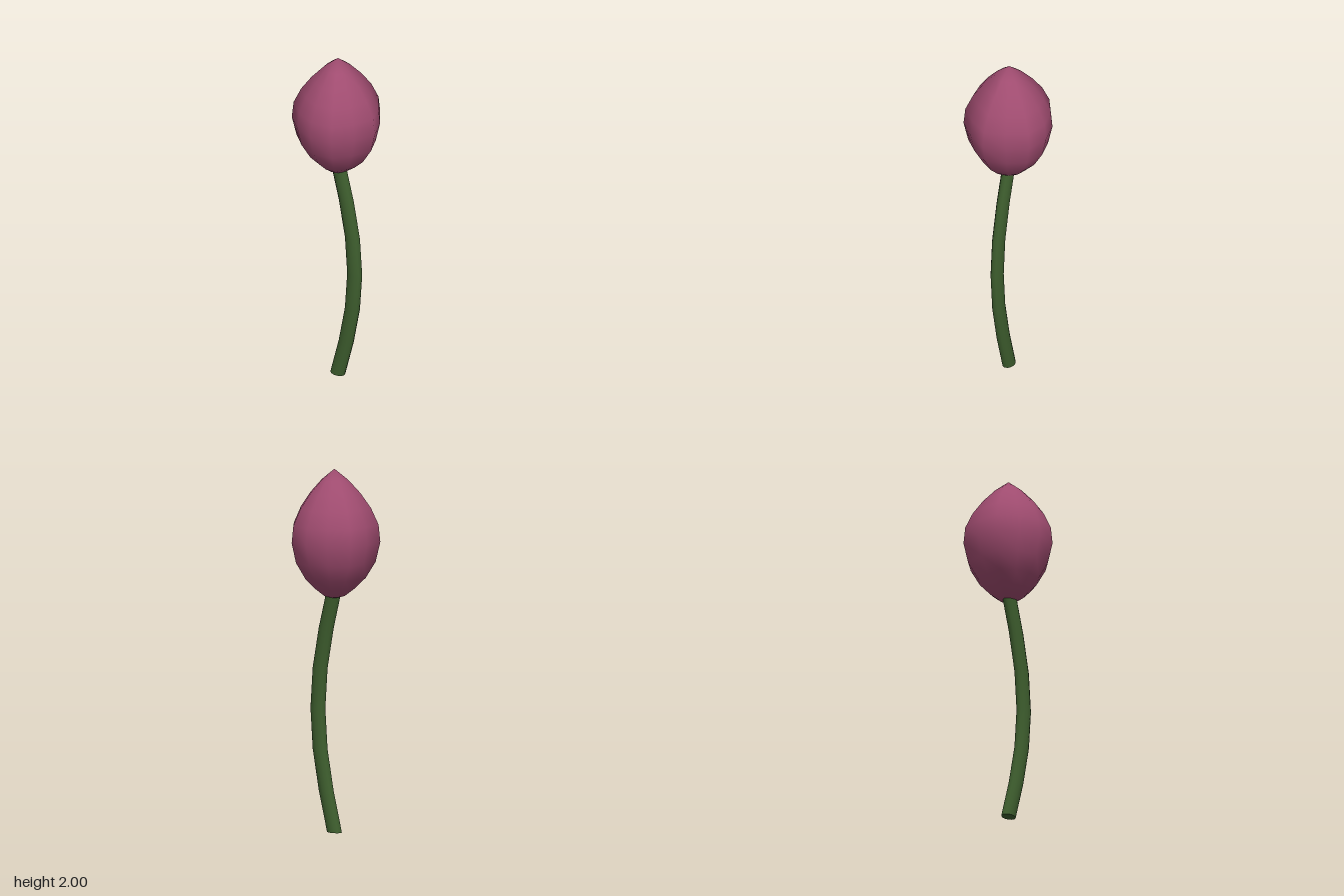
import * as THREE from 'three';
import { mergeVertices, toCreasedNormals } from 'three/addons/utils/BufferGeometryUtils.js';

const CENTRE_X = -0.013;

// Closed bud: a 12-sided lathe with five soft petal ridges
function budGeometry() {
  const profile = [
    [0, 1.285], [0.055, 1.302], [0.108, 1.345], [0.165, 1.405], [0.217, 1.495], [0.2415, 1.605],
    [0.232, 1.7], [0.192, 1.79], [0.137, 1.87], [0.072, 1.942], [0, 2],
  ].map(([r, y]) => new THREE.Vector2(r, y));
  let geo = new THREE.LatheGeometry(profile, 12);
  const pos = geo.attributes.position;
  for (let i = 0; i < pos.count; i++) {
    const x = pos.getX(i), z = pos.getZ(i);
    const ridge = 1 + 0.05 * Math.cos(5 * Math.atan2(z, x));
    pos.setX(i, x * ridge);
    pos.setZ(i, z * ridge);
  }
  // Weld the seam and poles so the shading runs smoothly round
  geo.deleteAttribute('normal');
  geo.deleteAttribute('uv');
  geo = mergeVertices(geo, 1e-5);
  geo.computeVertexNormals();
  return geo;
}

// Stem: an oval cylinder bowed sideways, its rings staying level
function stemGeometry() {
  const height = 1.34;
  const geo = new THREE.CylinderGeometry(1, 1, height, 12, 6);
  geo.scale(0.045, 1, 0.032);
  geo.translate(0, height / 2, 0);
  const pos = geo.attributes.position;
  for (let i = 0; i < pos.count; i++) {
    const bow = 0.116 * Math.sin(Math.PI * pos.getY(i) / height);
    pos.setX(i, pos.getX(i) + bow);
  }
  return toCreasedNormals(geo, 1);
}

export function createModel() {
  const pink = new THREE.MeshStandardMaterial({ name: 'budPink', color: 0xa04c70 });
  const green = new THREE.MeshStandardMaterial({ name: 'stemGreen', color: 0x3e5e2e });

  const group = new THREE.Group();
  group.name = 'flowerBud';
  for (const [name, geo, mat] of [['bud', budGeometry(), pink], ['stem', stemGeometry(), green]]) {
    const mesh = new THREE.Mesh(geo, mat);
    mesh.name = name;
    mesh.position.x = CENTRE_X;
    group.add(mesh);
  }
  return group;
}
